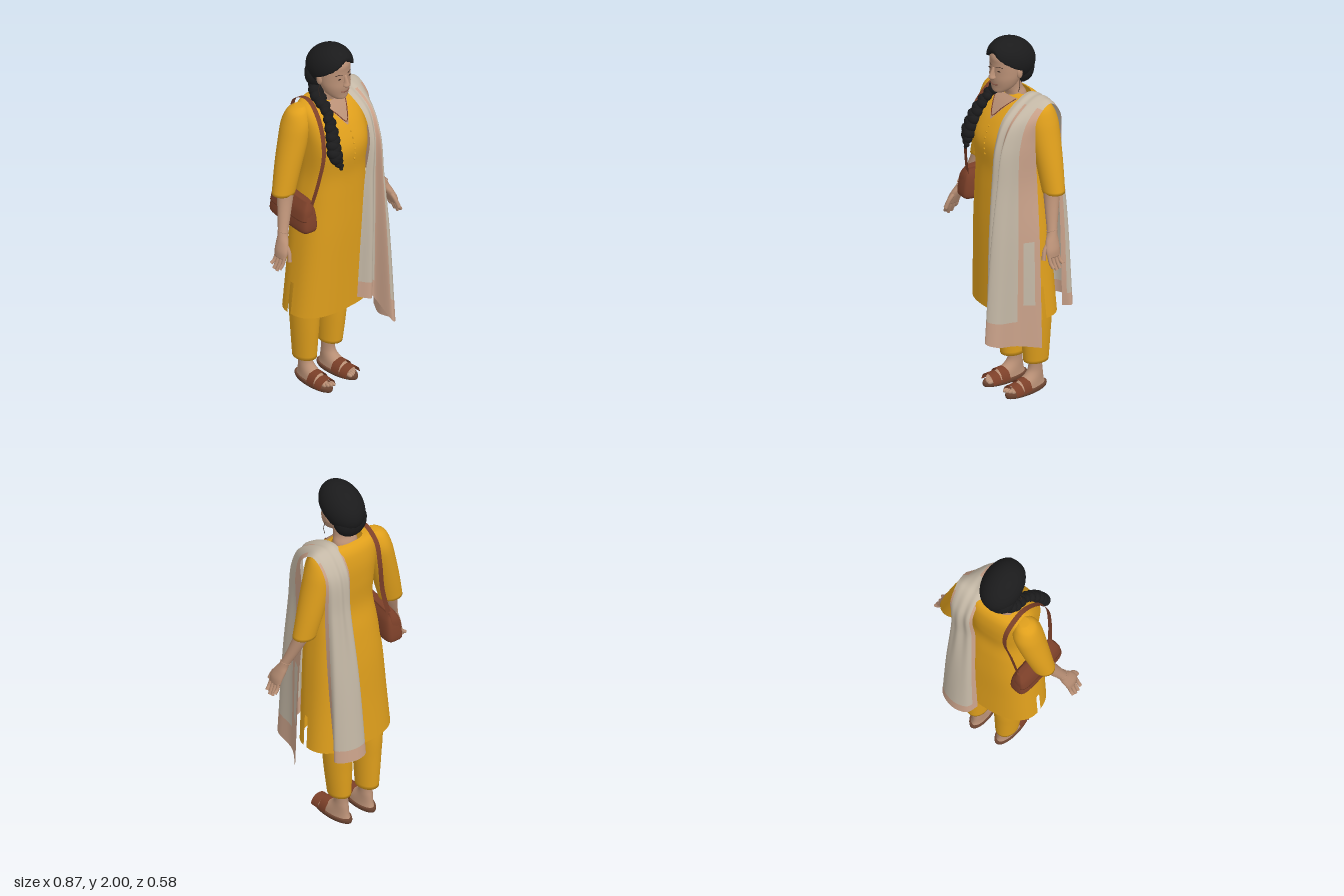
import * as THREE from 'three';

const mat = (name, color, side = THREE.FrontSide) => {
  const m = new THREE.MeshStandardMaterial({ color, side });
  m.name = name;
  return m;
};
const V = (x, y, z) => new THREE.Vector3(x, y, z);
const cubic = (a, b, c, d, t) =>
  b + 0.5 * t * (c - a + t * (2 * a - 5 * b + 4 * c - d + t * (3 * (b - c) + d - a)));

// Smooth body through horizontal rings [y, centreX, centreZ, radiusX, radiusZ], listed upwards;
// a power below 1 makes the rings squarer
function loft(sections, { n = 32, steps = 6, caps = true, power = 1, skip = () => false } = {}) {
  const pos = [], idx = [], last = sections.length - 1, rows = last * steps;
  const at = k => sections[Math.min(last, Math.max(0, k))];
  const round = v => Math.sign(v) * Math.abs(v) ** power;
  for (let i = 0; i <= rows; i++) {
    const k = Math.min(last - 1, Math.floor(i / steps)), t = i / steps - k;
    const [y, cx, cz, rx, rz] = sections[0].map((_, d) =>
      cubic(at(k - 1)[d], at(k)[d], at(k + 1)[d], at(k + 2)[d], t));
    for (let j = 0; j < n; j++) {
      const a = j / n * Math.PI * 2;
      pos.push(cx + rx * round(Math.cos(a)), y, cz + rz * round(Math.sin(a)));
      if (i === rows || skip(y, j)) continue;
      const p = i * n + j, q = i * n + (j + 1) % n;
      idx.push(p, p + n, q, q, p + n, q + n);
    }
  }
  if (caps) {
    const c = pos.length / 3, r = rows * n, b = sections[0], t = sections[last];
    pos.push(b[1], b[0], b[2], t[1], t[0], t[2]);
    for (let j = 0; j < n; j++) {
      const k = (j + 1) % n;
      idx.push(c, j, k, c + 1, r + k, r + j);
    }
  }
  return build(pos, idx);
}

function build(pos, idx) {
  const g = new THREE.BufferGeometry();
  g.setAttribute('position', new THREE.Float32BufferAttribute(pos, 3));
  g.setIndex(idx);
  g.computeVertexNormals();
  return g;
}

// Cloth through rows of points; faces where second(t, u) is true take material 1
function sheet(rows, N, M, second = () => false) {
  const across = rows.map(r => new THREE.CatmullRomCurve3(r).getPoints(M));
  const cols = across[0].map((_, j) => new THREE.CatmullRomCurve3(across.map(r => r[j])).getPoints(N));
  const pos = [], a = [], b = [], w = M + 1;
  for (let i = 0; i <= N; i++) for (let j = 0; j <= M; j++) {
    pos.push(...cols[j][i].toArray());
    if (i === N || j === M) continue;
    const p = i * w + j;
    (second((i + 0.5) / N, (j + 0.5) / M) ? b : a).push(p, p + 1, p + w, p + 1, p + w + 1, p + w);
  }
  const g = build(pos, [...a, ...b]);
  g.addGroup(0, a.length, 0);
  g.addGroup(a.length, b.length, 1);
  return g;
}

export function createModel() {
  const model = new THREE.Group();
  const D = THREE.DoubleSide;
  const yellow = mat('mustard cloth', 0xdf9f1c, D), skin = mat('skin', 0xb88f75, D);
  const black = mat('black hair', 0x1b1b1c), leather = mat('brown leather', 0x7c4029, D);
  const beige = mat('beige scarf', 0xc4b8a6, D), pink = mat('pink scarf', 0xcaa28a, D);
  const dark = mat('dark detail', 0x3b2a22), lip = mat('lips', 0x8d5a4a), sole = mat('sandal sole', 0x6b4431);
  const add = (name, geo, material, parent = model) => {
    const m = new THREE.Mesh(geo, material);
    m.name = name;
    parent.add(m);
    return m;
  };
  const ball = (name, material, p, s, parent) => {
    const m = add(name, new THREE.SphereGeometry(1, 16, 12), material, parent);
    m.position.set(...p);
    m.scale.set(...s);
    return m;
  };
  const tube = (name, material, pts, r, n = 24) =>
    add(name, new THREE.TubeGeometry(new THREE.CatmullRomCurve3(pts.map(p => V(...p))), n, r, 8), material);
  const ray = new THREE.Raycaster();
  const frontOf = (mesh, x, y, off = 0.003) => {
    ray.set(V(x, y, 2), V(0, 0, -1));
    const hit = ray.intersectObject(mesh)[0];
    return V(x, y, (hit ? hit.point.z : 0) + off);
  };

  // Tunic with open side slits
  const tunic = add('tunic', loft([
    [0.48, 0, -0.045, 0.25, 0.155], [0.7, 0, -0.035, 0.232, 0.155], [0.95, 0, -0.025, 0.211, 0.157],
    [1.15, 0, -0.013, 0.187, 0.15], [1.3, 0, 0, 0.168, 0.142], [1.45, 0, 0.003, 0.172, 0.158],
    [1.56, 0, -0.02, 0.178, 0.14], [1.64, 0, -0.045, 0.176, 0.105], [1.68, 0, -0.06, 0.15, 0.07],
    [1.695, 0, -0.06, 0.09, 0.045],
  ], { n: 64, caps: false, power: 0.8, skip: (y, j) => y < 0.64 && (j === 0 || j === 32) }), yellow);

  // V neckline, necklace and buttons
  const neckRows = [1.575, 1.605, 1.635, 1.66, 1.682].map((y, i) =>
    [-1, -0.5, 0, 0.5, 1].map(k => frontOf(tunic, k * (0.004 + i * 0.02), y)));
  add('neckline', sheet(neckRows, 24, 16), [skin, skin]);
  tube('necklace', leather, [-1, -0.5, 0, 0.5, 1].map(k =>
    frontOf(tunic, k * 0.075, 1.59 + Math.abs(k) * 0.09, 0.005).toArray()), 0.0025);
  for (let i = 0; i < 6; i++)
    ball('button', yellow, frontOf(tunic, 0.005, 1.39 + i * 0.03, 0.001).toArray(), [0.005, 0.006, 0.004]);

  // Neck and head
  add('neck', loft([[1.62, 0, -0.045, 0.075, 0.06], [1.68, 0, -0.045, 0.066, 0.054],
    [1.72, 0, -0.03, 0.051, 0.05], [1.79, 0, -0.015, 0.052, 0.055]]), skin);
  const head = add('head', loft([
    [1.712, 0, 0.055, 0.014, 0.014], [1.722, 0, 0.05, 0.038, 0.04], [1.75, 0, 0.03, 0.064, 0.064],
    [1.79, 0, 0.02, 0.079, 0.079], [1.83, 0, 0.014, 0.083, 0.083], [1.88, 0, 0.01, 0.082, 0.087],
    [1.92, 0, 0.01, 0.075, 0.085], [1.97, 0, 0, 0.05, 0.06],
  ]), skin);
  add('nose', loft([[1.796, 0, 0.1, 0.009, 0.012], [1.806, 0, 0.103, 0.02, 0.021],
    [1.825, 0, 0.1, 0.012, 0.019], [1.862, 0, 0.092, 0.008, 0.008]], { n: 16 }), skin);
  tube('smile', lip, [-0.028, -0.014, 0, 0.014, 0.028].map(x =>
    frontOf(head, x, 1.764 + x * x * 9, -0.001).toArray()), 0.004, 16);
  for (const s of [-1, 1]) {
    ball('eye', dark, frontOf(head, s * 0.033, 1.846, 0).toArray(), [0.013, 0.004, 0.003]);
    tube('eyebrow', dark, [0.016, 0.034, 0.052].map((x, i) =>
      frontOf(head, s * x, 1.866 + (i === 1 ? 0.005 : 0), 0).toArray()), 0.002, 10);
    ball('ear', skin, [s * 0.083, 1.825, -0.008], [0.012, 0.03, 0.018]);
    tube('earring', dark, [[s * 0.092, 1.8, 0], [s * 0.099, 1.765, 0.005], [s * 0.09, 1.725, 0.005]], 0.0015, 8);
  }

  // Hair cap, drawn back from the face along a centre-parted hairline
  const hairGeo = new THREE.SphereGeometry(1, 64, 48);
  hairGeo.scale(0.106, 0.11, 0.145).rotateX(-0.5).translate(0, 1.882, -0.02);
  const hp = hairGeo.attributes.position;
  for (let i = 0; i < hp.count; i++) {
    const x = hp.getX(i), y = hp.getY(i);
    const drop = Math.max(0, 1.945 - Math.abs(x) * 0.55 - y);
    hp.setZ(i, Math.min(hp.getZ(i), Math.max(-0.03 - Math.max(0, 1.8 - y), 0.102 - drop * 2.4)));
  }
  hairGeo.computeVertexNormals();
  add('hair', hairGeo, black);
  ball('gatheredHair', black, [-0.008, 1.815, -0.078], [0.094, 0.09, 0.07]);

  // Braid falling over the right shoulder
  const braid = new THREE.CatmullRomCurve3([V(-0.02, 1.77, -0.085), V(-0.07, 1.725, -0.04), V(-0.09, 1.66, 0.055),
    V(-0.115, 1.56, 0.12), V(-0.128, 1.46, 0.155), V(-0.11, 1.39, 0.185)]);
  const widths = [0.05, 0.042, 0.028, 0.037, 0.041, 0.01];
  for (let i = 0; i <= 26; i++) {
    const t = i / 26, k = Math.min(4, Math.floor(t * 5));
    const r = THREE.MathUtils.lerp(widths[k], widths[k + 1], t * 5 - k), p = braid.getPoint(t);
    const m = ball('braidKnot', black, [p.x + (i % 2 ? 0.004 : -0.004), p.y, p.z], [r, r * 0.85, r * 0.85]);
    m.rotation.z = i % 2 ? 0.4 : -0.4;
  }

  // Arms, trousers and feet, mirrored
  for (const s of [-1, 1]) {
    const flip = rows => rows.map(([y, x, ...r]) => [y, s * x, ...r]);
    add('sleeve', loft(flip([[1.21, 0.28, -0.065, 0.064, 0.055], [1.35, 0.245, -0.07, 0.071, 0.068],
      [1.5, 0.206, -0.072, 0.075, 0.08], [1.59, 0.186, -0.072, 0.072, 0.08],
      [1.655, 0.176, -0.07, 0.055, 0.057], [1.682, 0.165, -0.068, 0.025, 0.028]])), yellow);
    add('forearm', loft(flip([[0.915, 0.394, 0.03, 0.014, 0.04], [0.95, 0.384, 0.028, 0.021, 0.043],
      [0.99, 0.367, 0.018, 0.024, 0.038], [1.03, 0.35, 0.004, 0.026, 0.027],
      [1.1, 0.32, -0.02, 0.033, 0.032], [1.2, 0.284, -0.048, 0.043, 0.04], [1.3, 0.262, -0.06, 0.05, 0.045]])), skin);
    for (let f = 0; f < 4; f++) {
      const z = 0.002 + f * 0.019, tip = 0.85 + [0.025, 0.004, 0, 0.015][f];
      tube('finger', skin, [[s * 0.388, 0.94, z], [s * 0.405, 0.89, z * 1.1 - 0.004], [s * 0.424, tip, z * 1.1 - 0.008]], 0.0095, 8);
    }
    tube('thumb', skin, [[s * 0.365, 0.99, 0.035], [s * 0.372, 0.95, 0.072], [s * 0.383, 0.905, 0.088]], 0.011, 8);
    const bangle = add('bangle', new THREE.TorusGeometry(0.028, 0.002, 8, 24), skin);
    bangle.position.set(s * 0.348, 1.035, 0.003);
    bangle.rotation.set(Math.PI / 2, s * 0.4, 0);

    const cuff = s > 0 ? 0.165 : 0.14;
    add('trouserLeg', loft(flip([[cuff, 0.09, -0.11, 0.056, 0.07], [0.32, 0.094, -0.105, 0.067, 0.082],
      [0.5, 0.096, -0.1, 0.077, 0.092], [0.8, 0.095, -0.07, 0.085, 0.1]])), yellow);

    const foot = new THREE.Group();
    foot.name = 'foot';
    foot.position.x = s * 0.085;
    foot.rotation.y = s * 0.05;
    model.add(foot);
    add('sandalSole', loft([[0, 0, -0.05, 0.049, 0.133], [0.012, 0, -0.05, 0.053, 0.137],
      [0.024, 0, -0.05, 0.051, 0.134]], { steps: 2 }), sole, foot);
    add('footAndAnkle', loft([[0.02, 0, -0.06, 0.044, 0.115], [0.045, 0, -0.066, 0.041, 0.1],
      [0.085, 0, -0.105, 0.034, 0.054], [0.13, 0, -0.115, 0.032, 0.038], [0.22, 0, -0.112, 0.038, 0.042]]), skin, foot);
    for (let k = 0; k < 5; k++)
      ball('toe', skin, [s * (-0.03 + k * 0.0155), 0.03, 0.062 - k * k * 0.0022], [0.0095 - k * 0.0007, 0.011, 0.019], foot);
    [[0.034, 0.048], [-0.022, 0.062]].forEach(([z, h]) => {
      const strap = add('sandalStrap', new THREE.CylinderGeometry(0.051, 0.052, 0.05, 24, 1, true, Math.PI / 2, Math.PI), leather, foot);
      strap.rotation.x = Math.PI / 2;
      strap.scale.z = h / 0.052;
      strap.position.set(0, 0.016, z);
    });
  }

  // Soft shoulder bag, wider at the base, with a flap on its outer face
  const bag = new THREE.Group();
  bag.name = 'shoulderBag';
  bag.position.set(-0.228, 1.02, -0.05);
  bag.rotation.set(0, -0.13, -0.06);
  model.add(bag);
  add('bagBody', loft([[0, 0, 0, 0.036, 0.14], [0.02, 0, 0, 0.052, 0.158], [0.07, 0, 0, 0.051, 0.156],
    [0.13, 0, 0, 0.04, 0.143], [0.172, 0, 0, 0.018, 0.124]], { power: 0.45 }), leather, bag);
  add('bagFlap', loft([[0.075, -0.012, 0, 0.043, 0.152], [0.13, -0.008, 0, 0.037, 0.146],
    [0.178, 0, 0, 0.018, 0.126]], { power: 0.45 }), leather, bag);
  add('bagStrap', sheet([[-0.225, 1.15, 0.075], [-0.2, 1.32, 0.11], [-0.175, 1.47, 0.12], [-0.15, 1.62, 0.065],
    [-0.13, 1.71, -0.04], [-0.12, 1.665, -0.15], [-0.12, 1.55, -0.18], [-0.15, 1.35, -0.165], [-0.2, 1.15, -0.165]]
    .map(([x, y, z]) => [V(x - 0.013, y, z), V(x + 0.013, y, z + 0.003)]), 60, 2), [leather, leather]);

  // Pleated scarf: front hem, over the left shoulder, down to the back hem
  const row = (y, xs, zs) => xs.map((x, i) => V(x, Array.isArray(y) ? y[i] : y, zs[i]));
  const front = [
    row([0.55, 0.54, 0.52, 0.41, 0.39, 0.36, 0.34], [0.03, 0.08, 0.125, 0.155, 0.2, 0.212, 0.28], [0.15, 0.2, 0.165, 0.285, 0.25, 0.12, 0.01]),
    row(0.95, [0.05, 0.09, 0.13, 0.155, 0.195, 0.212, 0.255], [0.16, 0.2, 0.17, 0.245, 0.21, 0.11, 0.005]),
    row(1.25, [0.07, 0.1, 0.14, 0.16, 0.19, 0.202, 0.23], [0.165, 0.19, 0.165, 0.21, 0.17, 0.1, 0]),
    row(1.48, [0.1, 0.12, 0.145, 0.165, 0.19, 0.208, 0.235], [0.17, 0.18, 0.16, 0.178, 0.145, 0.095, 0.015]),
    row(1.62, [0.1, 0.125, 0.15, 0.17, 0.19, 0.212, 0.24], [0.11, 0.115, 0.1, 0.1, 0.08, 0.045, 0.01]),
  ];
  const back = [
    row([1.7, 1.706, 1.702, 1.705, 1.702, 1.698, 1.685], [0.085, 0.11, 0.135, 0.16, 0.185, 0.21, 0.235], [-0.075, -0.075, -0.08, -0.08, -0.08, -0.08, -0.08]),
    row(1.6, [0.08, 0.105, 0.13, 0.155, 0.18, 0.2, 0.225], [-0.17, -0.183, -0.176, -0.183, -0.176, -0.172, -0.16]),
    row(1.35, [0.065, 0.09, 0.12, 0.15, 0.175, 0.2, 0.215], [-0.17, -0.2, -0.2, -0.21, -0.2, -0.19, -0.15]),
    row(0.95, [0.045, 0.065, 0.105, 0.15, 0.18, 0.21, 0.21], [-0.2, -0.24, -0.25, -0.25, -0.24, -0.22, -0.17]),
    row(0.48, [0.02, 0.045, 0.1, 0.15, 0.195, 0.22, 0.19], [-0.215, -0.27, -0.29, -0.285, -0.265, -0.235, -0.2]),
  ];
  const isPink = (t, u) => {
    if (t < 0.022 || t > 0.985) return true;
    if (t > 0.5) return t > 0.6 && (u < 0.08 || u > 0.91);
    const inset = t > 0.04 && t < 0.11 && u > 0.88 && u < 0.96;
    return (u > 0.84 && !inset) || (u > 0.35 && u < 0.48);
  };
  add('scarf', sheet([...front, ...back], 120, 48, isPink), [beige, pink]);
  return model;
}
